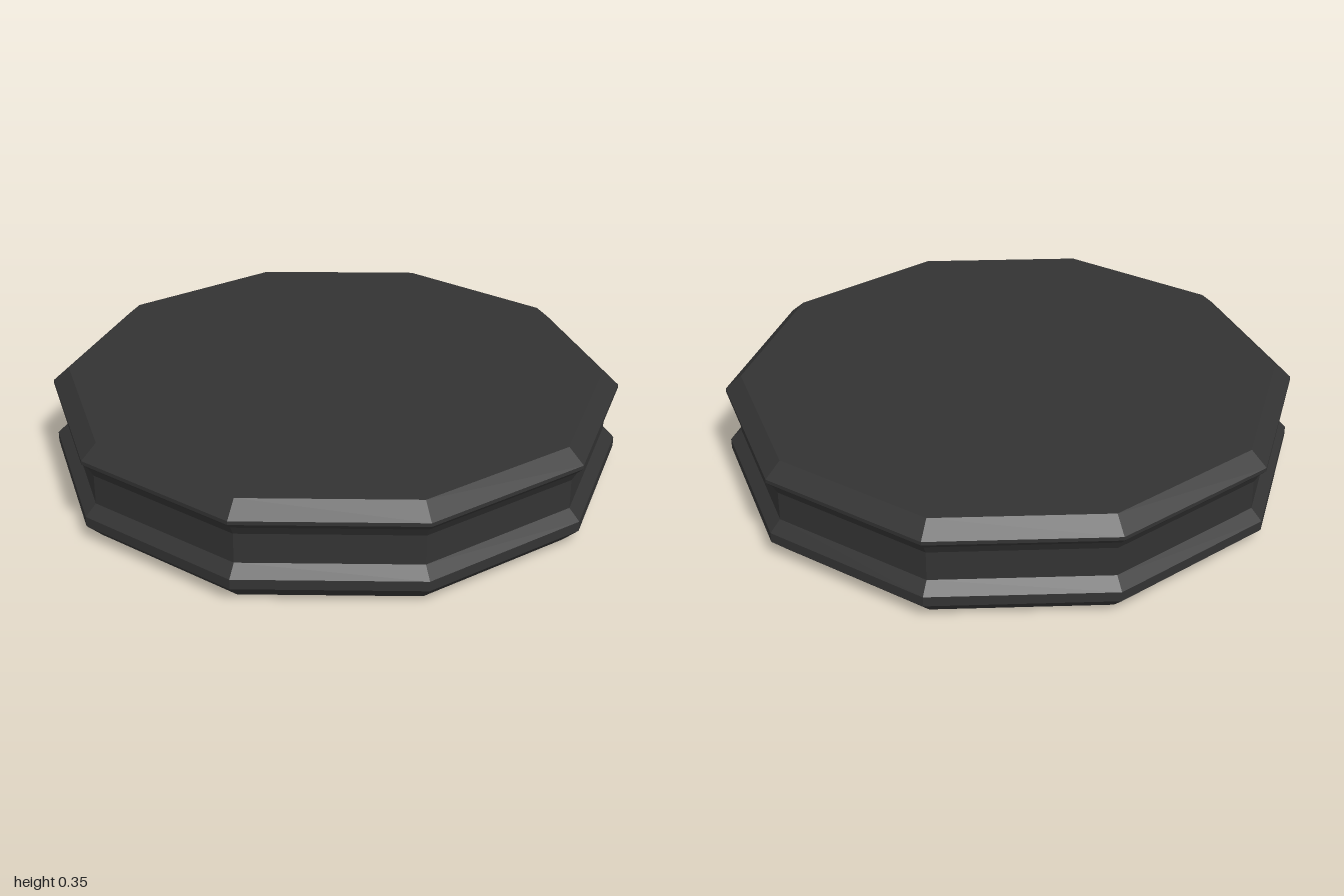
import * as THREE from 'three';

const SIDES = 10;

// Faceted ring swept from a [radius, height] profile running bottom to top
function facetedLathe(profile) {
  const points = profile.map(([r, y]) => new THREE.Vector2(r, y));
  const geometry = new THREE.LatheGeometry(points, SIDES).toNonIndexed();
  geometry.computeVertexNormals();
  return geometry;
}

export function createModel() {
  const group = new THREE.Group();
  group.name = 'groovedDisc';

  const charcoal = new THREE.MeshStandardMaterial({ color: 0x333333 });
  charcoal.name = 'charcoal';

  const parts = {
    // Bottom face, chamfer and lower rim
    lowerRim: [[0, 0], [0.943, 0], [1, 0.055], [1, 0.09], [0.96, 0.128]],
    // Recessed band between the rims
    groove: [[0.96, 0.128], [0.96, 0.233]],
    // Flared upper rim, chamfer and top face
    upperRim: [[0.96, 0.233], [0.978, 0.265], [1, 0.287], [1, 0.3], [0.943, 0.35], [0, 0.35]],
  };

  for (const [name, profile] of Object.entries(parts)) {
    const mesh = new THREE.Mesh(facetedLathe(profile), charcoal);
    mesh.name = name;
    group.add(mesh);
  }
  return group;
}
